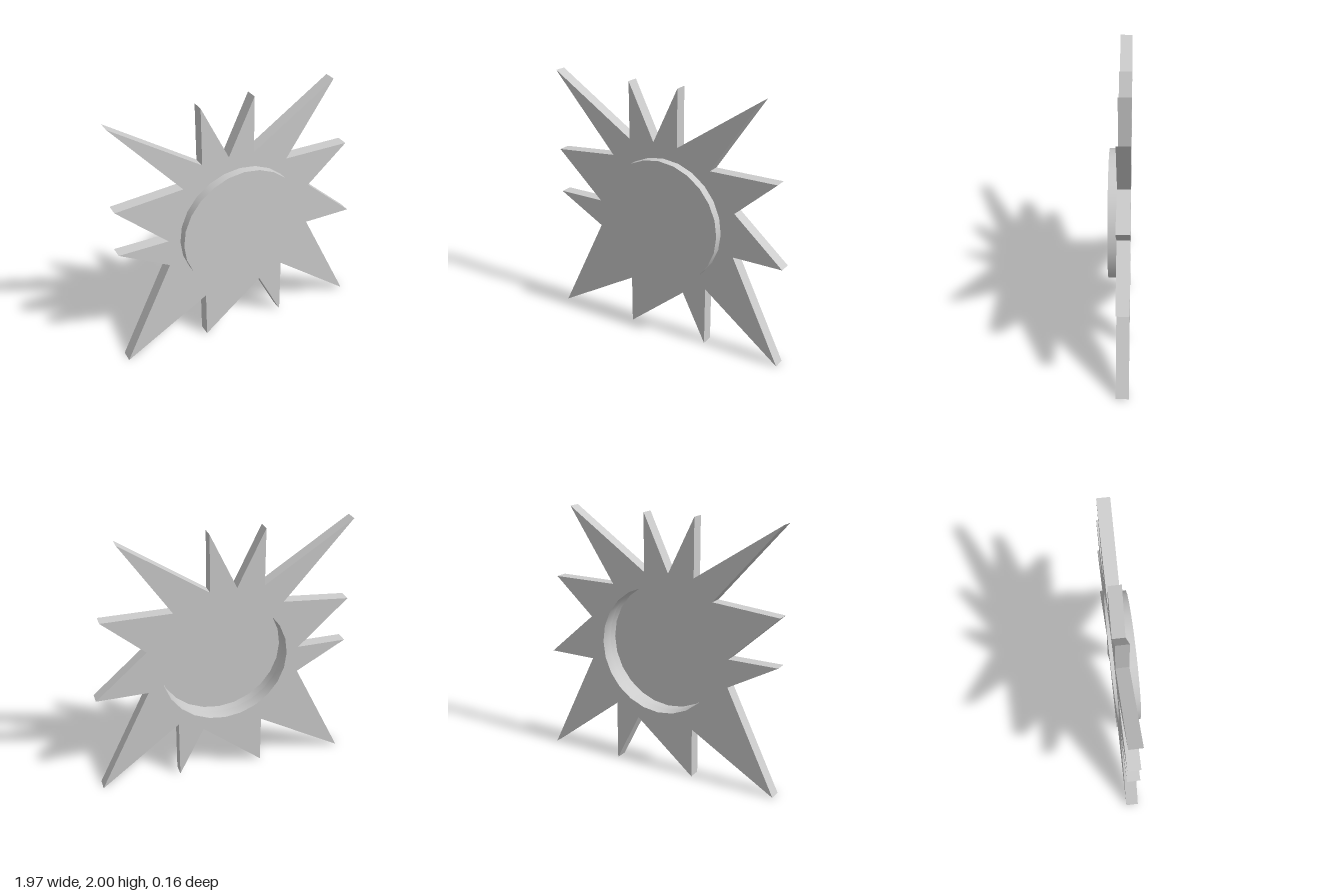
import * as THREE from 'three';
import { toCreasedNormals } from 'three/addons/utils/BufferGeometryUtils.js';

const SIDES = 24, RADIUS = 0.495, CENTER = [-0.01, 0.963];
const BACK = -0.082, PLATE_FRONT = 0.014, FRONT = 0.082;

// Starburst outline, clockwise from the upper-left tip
const OUTLINE = [
  [-0.985, 2], [-0.31, 1.56], [-0.31, 2], [-0.098, 1.57], [0.107, 2], [0.107, 1.56],
  [0.763, 2], [0.383, 1.435], [0.914, 1.435], [0.59, 1.15], [0.985, 0.804], [0.59, 0.804],
  [0.985, 0], [0.365, 0.475], [0.365, 0], [0.167, 0.39], [-0.31, 0], [-0.31, 0.39],
  [-0.985, 0], [-0.598, 0.785], [-0.985, 1], [-0.598, 1], [-0.985, 1.36], [-0.463, 1.405],
];

export function createModel() {
  const group = new THREE.Group();
  const material = new THREE.MeshStandardMaterial({ color: 0xcccccc, side: THREE.DoubleSide });
  const add = (name, geometry, x, y, z) => {
    const mesh = new THREE.Mesh(geometry, material);
    mesh.name = name;
    mesh.position.set(x, y, z);
    group.add(mesh);
  };

  // Spiked plate with a round opening
  const shape = new THREE.Shape(OUTLINE.map(([x, y]) => new THREE.Vector2(x, y)));
  const ring = [];
  for (let i = 0; i < SIDES; i++) {
    const a = (i / SIDES) * Math.PI * 2;
    ring.push(new THREE.Vector2(CENTER[0] + RADIUS * Math.cos(a), CENTER[1] + RADIUS * Math.sin(a)));
  }
  shape.holes.push(new THREE.Path(ring));
  const plate = new THREE.ExtrudeGeometry(shape, { depth: PLATE_FRONT - BACK, bevelEnabled: false });
  add('starburstPlate', toCreasedNormals(plate, 0.4), 0, 0, BACK);

  // Thin collar standing out of the opening
  const height = FRONT - PLATE_FRONT;
  const collar = new THREE.CylinderGeometry(RADIUS, RADIUS, height, SIDES, 1, true).rotateX(Math.PI / 2);
  add('discCollar', collar, ...CENTER, PLATE_FRONT + height / 2);

  // Thin front face, also the floor of the recess at the back
  add('discFace', new THREE.CircleGeometry(RADIUS, SIDES), ...CENTER, FRONT);

  return group;
}
